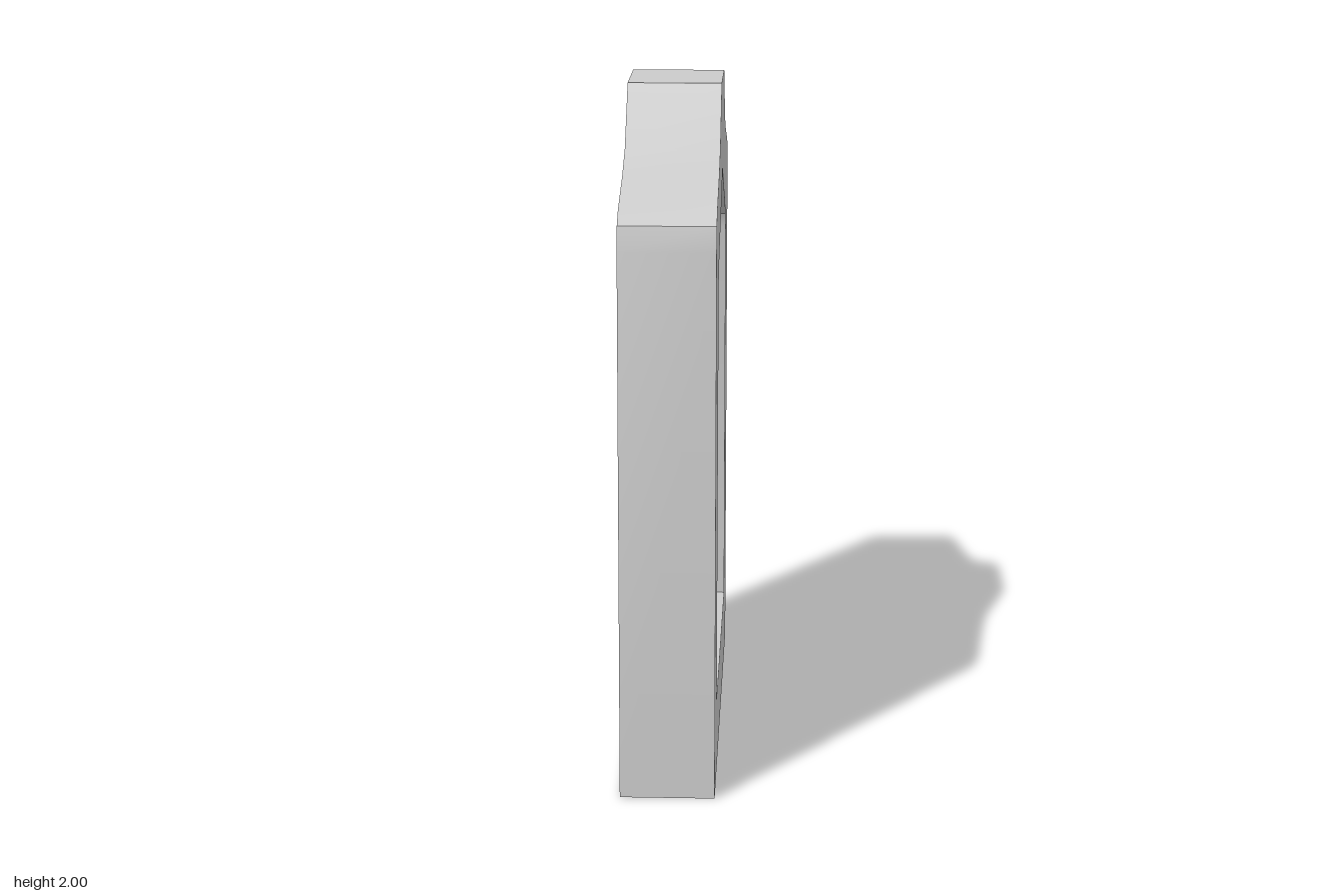
import * as THREE from 'three';
import { toCreasedNormals } from 'three/addons/utils/BufferGeometryUtils.js';

const THICKNESS = 0.275;
const DEEP = 0.227;    // recess depth on the back face
const SHALLOW = 0.016; // recess depth on the front face

// Right half of each outline, from the bottom up; the left half is mirrored
const OUTER = [[0.707, 0], [0.707, 1.61], [0.692, 1.68], [0.637, 1.715],
  [0.43, 1.775], [0.305, 1.83], [0.148, 2]];
const RECESS = [[0.494, 0.22], [0.463, 1.46], [0.444, 1.505], [0.365, 1.55],
  [0.21, 1.625], [0.075, 1.685], [0.028, 1.724]];

function mirrored(half) {
  const right = half.map(([x, y]) => new THREE.Vector2(x, y));
  const left = half.map(([x, y]) => new THREE.Vector2(-x, y)).reverse();
  return [...right, ...left];
}

function slab(name, shape, z0, z1) {
  const geometry = new THREE.ExtrudeGeometry(shape, { depth: z1 - z0, bevelEnabled: false });
  geometry.translate(0, 0, z0);
  const mesh = new THREE.Mesh(
    toCreasedNormals(geometry, 0.6),
    new THREE.MeshStandardMaterial({ color: 0xcccccc })
  );
  mesh.name = name;
  return mesh;
}

export function createModel() {
  const group = new THREE.Group();
  group.name = 'archedPanel';

  // Thick frame with shoulders and an arched opening
  const frameShape = new THREE.Shape(mirrored(OUTER));
  frameShape.holes.push(new THREE.Path(mirrored(RECESS)));
  group.add(slab('frame', frameShape, -THICKNESS / 2, THICKNESS / 2));

  // Thin panel closing the opening, set close to the front face
  group.add(slab('recessPanel', new THREE.Shape(mirrored(RECESS)),
    -THICKNESS / 2 + DEEP, THICKNESS / 2 - SHALLOW));

  // The whole piece stands turned about the vertical axis
  group.rotation.y = THREE.MathUtils.degToRad(-55);
  return group;
}
